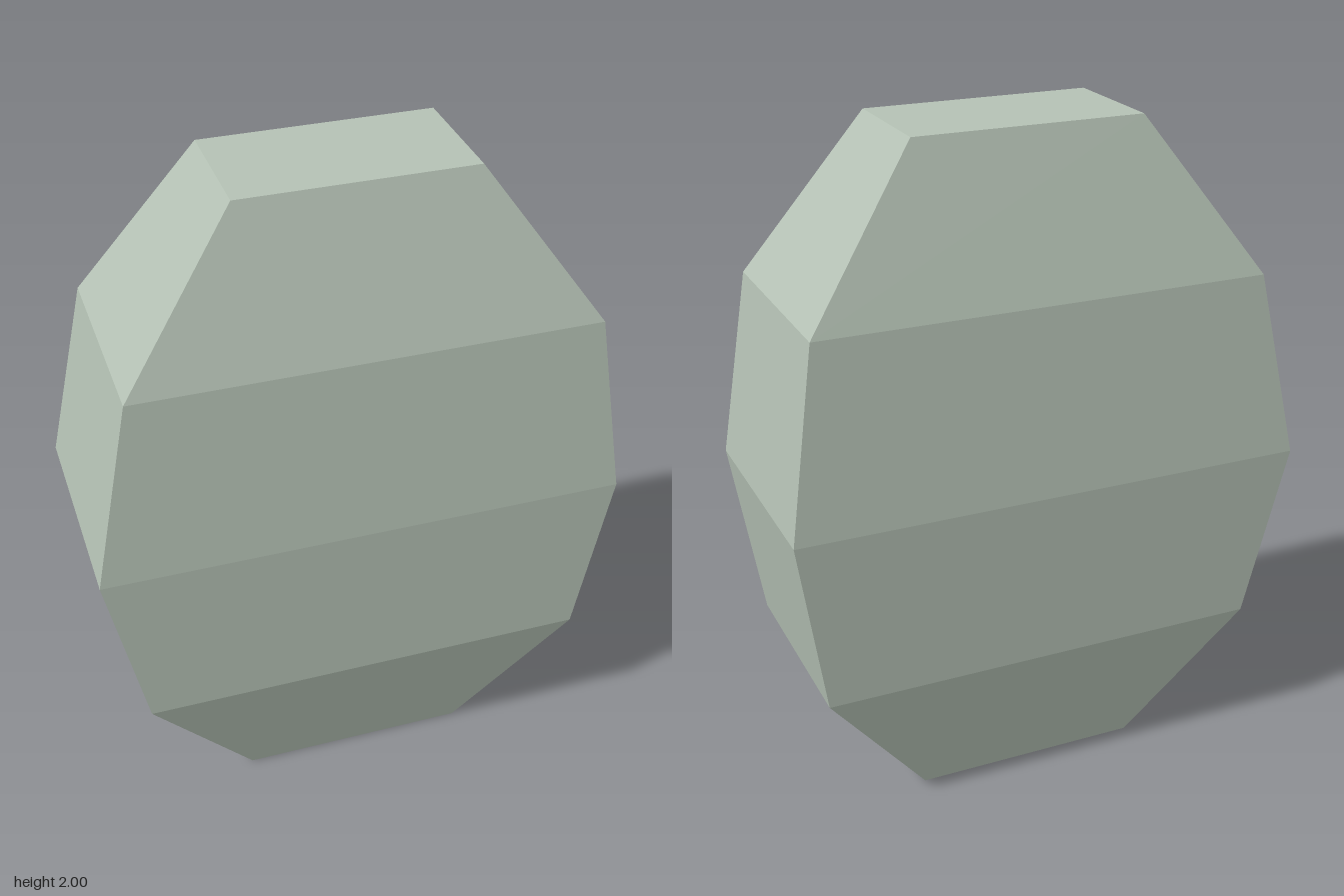
import * as THREE from 'three';

// Cross-sections from bottom to top: y, x min, x max, z min, z max
const SECTIONS = [
  [0, -0.33, 0.36, -0.18, 0.195],
  [0.435, -0.66, 0.69, -0.31, 0.32],
  [0.975, -0.775, 0.775, -0.345, 0.35],
  [1.535, -0.66, 0.69, -0.31, 0.32],
  [2, -0.325, 0.355, -0.18, 0.19],
];

export function createModel() {
  const model = new THREE.Group();
  model.name = 'facetedStone';

  const stoneMaterial = new THREE.MeshStandardMaterial({ color: 0xb5c2b5, flatShading: true });
  stoneMaterial.name = 'pale sage stone';

  // A segmented box whose rings are fitted to the cross-sections
  const geometry = new THREE.BoxGeometry(2, 4, 2, 1, SECTIONS.length - 1, 1);
  const position = geometry.attributes.position;
  for (let i = 0; i < position.count; i++) {
    const [y, x0, x1, z0, z1] = SECTIONS[Math.round(position.getY(i) + 2)];
    position.setXYZ(i, position.getX(i) < 0 ? x0 : x1, y, position.getZ(i) < 0 ? z0 : z1);
  }
  geometry.computeVertexNormals();

  // Flat facets: every triangle keeps its own normal
  const faceted = geometry.toNonIndexed();
  faceted.computeVertexNormals();

  const stone = new THREE.Mesh(faceted, stoneMaterial);
  stone.name = 'stoneBody';
  model.add(stone);
  return model;
}
